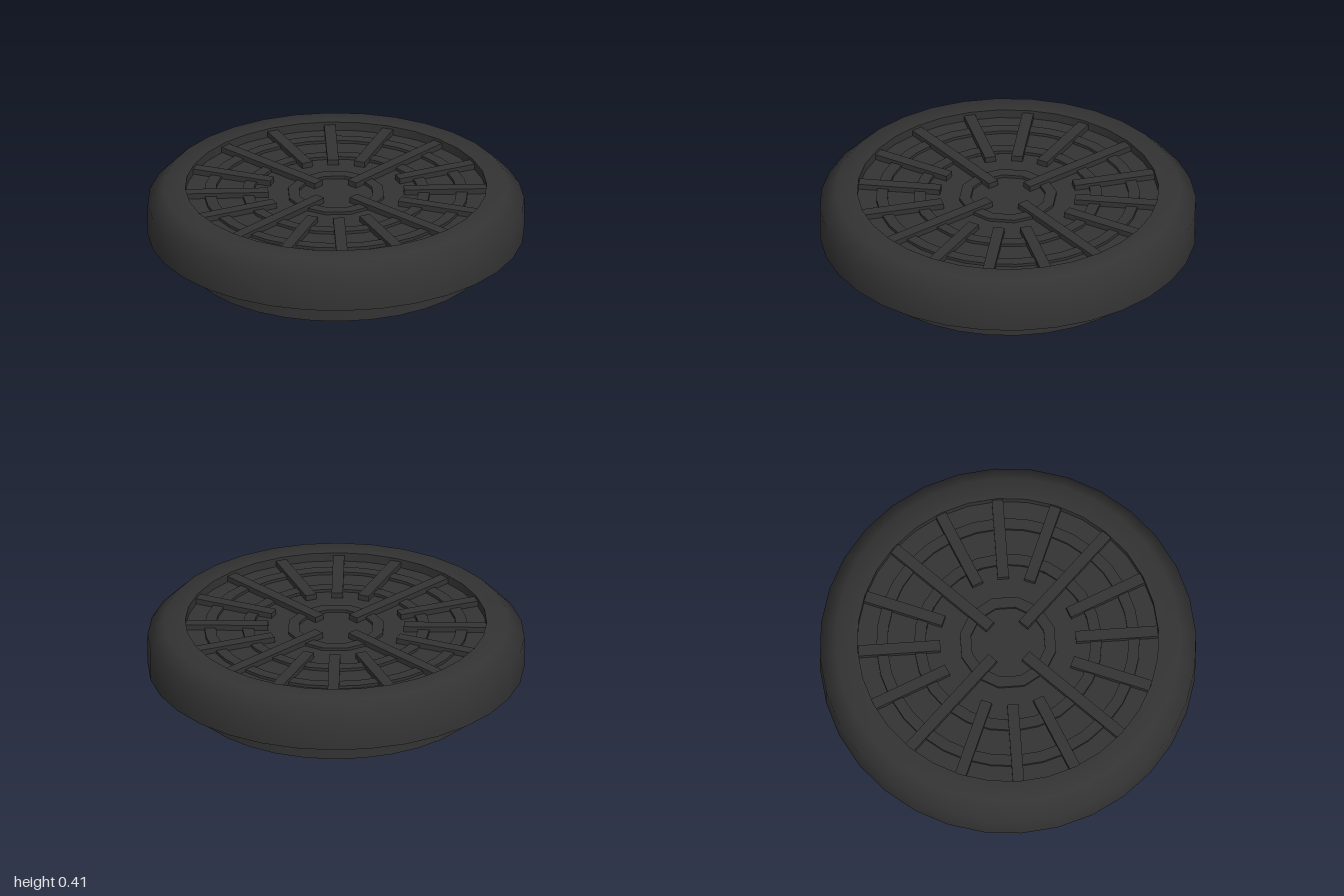
import * as THREE from 'three';

export function createModel() {
  const model = new THREE.Group();
  const material = new THREE.MeshStandardMaterial({ color: 0x333333, side: THREE.DoubleSide });
  const flat = material.clone();
  flat.flatShading = true;

  const add = (name, geometry, mat = material, parent = model) => {
    const mesh = new THREE.Mesh(geometry, mat);
    mesh.name = name;
    parent.add(mesh);
    return mesh;
  };
  const lathe = (points, sides) =>
    new THREE.LatheGeometry(points.map(([r, y]) => new THREE.Vector2(r, y)), sides);

  // Thin chamfered cap, open underneath
  add('rim', lathe([[1, 0.155], [1, 0.33], [0.915, 0.415], [0.8, 0.415]], 32));

  // Open pipe collar running up to the rim's inner edge
  add('collar', lathe([[0.8, 0], [0.8, 0.415]], 32));

  // Recessed plate and concentric raised bands
  const plateY = 0.367, bandY = 0.383;
  const bands = [[0.2, 0.26, 12], [0.44, 0.5, 24], [0.64, 0.7, 32]];
  let inner = 0.001;
  for (const [r0, r1, sides] of bands) {
    add('plate', lathe([[r0, plateY], [inner, plateY]], 32), flat);
    add('ringBand', lathe([[r1, plateY], [r1, bandY], [r0, bandY], [r0, plateY]], sides), flat);
    inner = r1 - 0.01;
  }
  add('plate', lathe([[0.8, plateY], [inner, plateY]], 32), flat);

  // Sixteen radial bars, the four on the axes reach further inward
  const spokes = new THREE.Group();
  spokes.name = 'spokes';
  model.add(spokes);
  for (let i = 0; i < 16; i++) {
    const start = i % 4 === 0 ? 0.125 : 0.36;
    const bar = new THREE.BoxGeometry(0.797 - start, 0.03, 0.06);
    bar.translate((0.797 + start) / 2, 0.385, 0);
    add('spoke', bar, material, spokes).rotation.y = (i * Math.PI) / 8;
  }
  return model;
}
